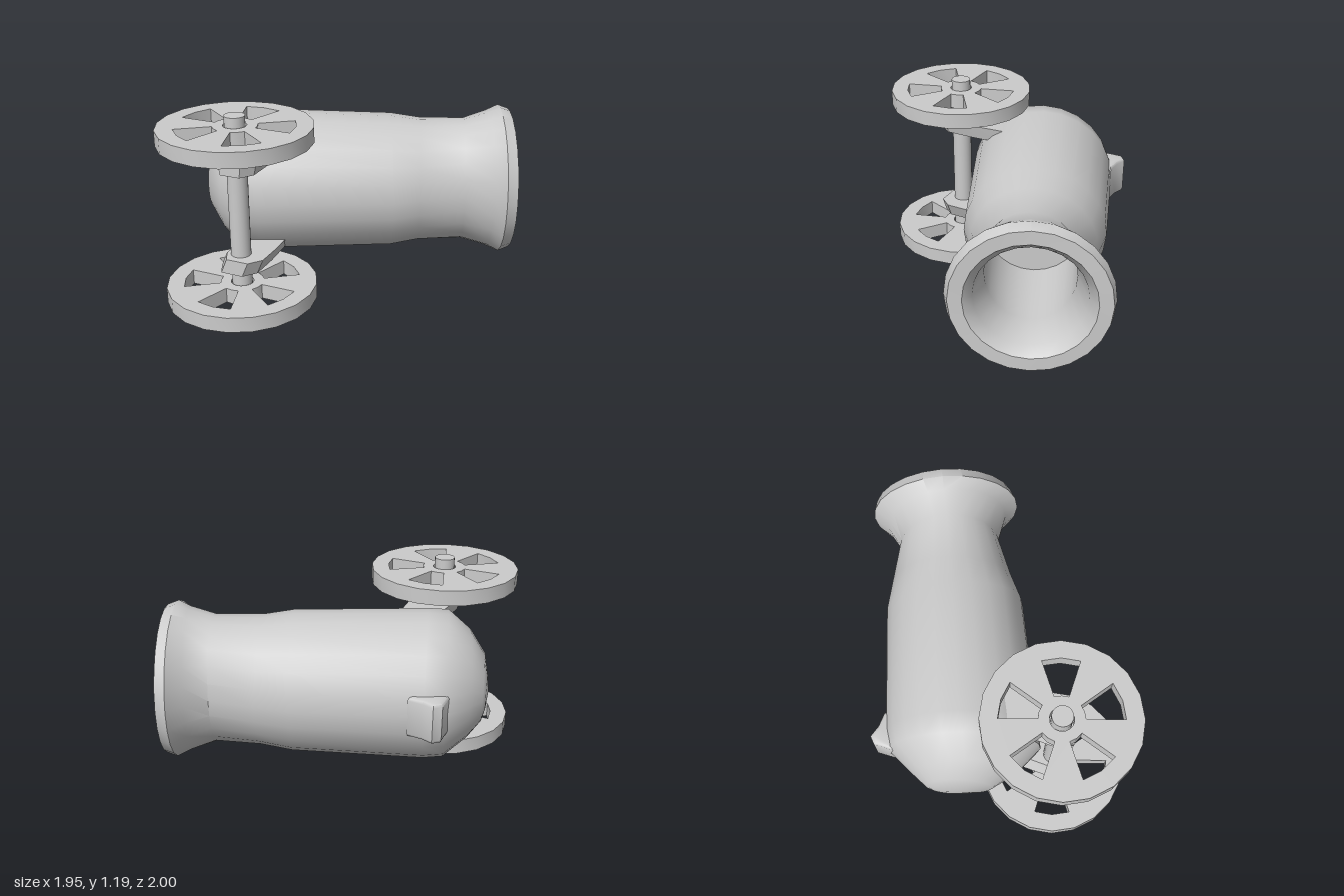
import * as THREE from 'three';
import { toCreasedNormals } from 'three/addons/utils/BufferGeometryUtils.js';

const MID = 0.597; // height of the barrel axis
const AXLE = { x: -0.49, z: 0.55 };

// Lofts elliptical rings; each station is [x1, z1, x2, z2, half height]
function loft(stations, sides) {
  const pos = [], idx = [];
  stations.forEach(([x1, z1, x2, z2, h], i) => {
    for (let j = 0; j < sides; j++) {
      const t = (j / sides) * Math.PI * 2, c = Math.cos(t) / 2;
      pos.push((x1 + x2) / 2 + (x2 - x1) * c, MID + Math.sin(t) * h, (z1 + z2) / 2 + (z2 - z1) * c);
      if (i === stations.length - 1) continue;
      const k = (j + 1) % sides, a = i * sides + j, b = i * sides + k;
      idx.push(a, a + sides, b, b, a + sides, b + sides);
    }
  });
  const g = new THREE.BufferGeometry();
  g.setAttribute('position', new THREE.Float32BufferAttribute(pos, 3));
  g.setIndex(idx);
  return toCreasedNormals(g, 0.75);
}

// Extrudes an outline drawn in x and z upwards from y0 to y1
function slab(shape, y0, y1, bevel = 0) {
  const g = new THREE.ExtrudeGeometry(shape, {
    depth: y1 - y0 - 2 * bevel, bevelEnabled: bevel > 0, bevelSize: bevel,
    bevelThickness: bevel, bevelOffset: -bevel, bevelSegments: 2, curveSegments: 20,
  });
  return g.rotateX(Math.PI / 2).translate(0, y1 - bevel, 0);
}

const outline = (pts) => new THREE.Shape(pts.map(([x, z]) => new THREE.Vector2(x, z)));

function arcPoints(r, from, to, n) {
  return Array.from({ length: n + 1 }, (_, i) => {
    const a = from + ((to - from) * i) / n;
    return new THREE.Vector2(Math.cos(a) * r, Math.sin(a) * r);
  });
}

// Five-spoked wheel, lying flat, with a hub that the axle passes through
function wheelShape() {
  const full = Math.PI * 2, step = full / 5;
  const shape = new THREE.Shape(arcPoints(0.447, 0, full, 20).slice(0, -1));
  for (let i = 0; i < 5; i++) {
    const a = Math.PI / 2 - step / 4 + i * step, b = a + step / 2;
    shape.holes.push(new THREE.Path([...arcPoints(0.345, a, b, 2), ...arcPoints(0.13, b, a, 2)]));
  }
  shape.holes.push(new THREE.Path(arcPoints(0.068, full, 0, 20).slice(0, -1)));
  return shape;
}

export function createModel() {
  const group = new THREE.Group();
  const material = new THREE.MeshStandardMaterial({ color: 0xcccccc });
  const add = (name, geometry) => {
    const mesh = new THREE.Mesh(geometry, material);
    mesh.name = name;
    group.add(mesh);
    return mesh;
  };

  // Barrel: domed breech, body, neck, flared lip, then back down the bore
  add('barrel', loft([
    [-0.965, 0.05, -0.965, 0.05, 0],
    [-0.98, -0.05, -0.93, 0.14, 0.1],
    [-0.975, -0.09, -0.86, 0.28, 0.2],
    [-0.935, -0.18, -0.71, 0.4, 0.32],
    [-0.85, -0.36, -0.55, 0.475, 0.43],
    [-0.75, -0.42, -0.44, 0.43, 0.437],
    [-0.05, -0.68, 0.29, 0.09, 0.415],
    [0.15, -0.715, 0.42, -0.02, 0.388],
    [0.42, -0.76, 0.65, -0.19, 0.39],
    [0.51, -0.88, 0.83, -0.2, 0.435],
    [0.55, -0.99, 0.92, -0.15, 0.463],
    [0.61, -1.0, 0.97, -0.2, 0.44],
    [0.645, -0.93, 0.935, -0.27, 0.36],
    [0.608, -0.858, 0.862, -0.292, 0.31],
    [0.43, -0.71, 0.64, -0.24, 0.3],
    [-0.015, -0.535, 0.215, -0.025, 0.28],
    [0.1, -0.28, 0.1, -0.28, 0],
  ], 24));

  // Fuse lug on the far side of the breech
  const lug = outline([[-0.855, -0.3], [-0.86, -0.44], [-0.82, -0.478], [-0.75, -0.455],
    [-0.66, -0.45], [-0.66, -0.3]]);
  add('fuseLug', toCreasedNormals(slab(lug, MID - 0.12, MID + 0.12, 0.02), 0.8));

  // Axle
  add('axle', new THREE.CylinderGeometry(0.06, 0.06, 1.19, 20).translate(AXLE.x, 0.595, AXLE.z));

  // Brackets joining the axle to the barrel, leaning outwards in x with height
  const bracket = outline([[-0.57, 0.15], [-0.37, 0.15], [-0.35, 0.4], [-0.35, 0.58],
    [-0.41, 0.655], [-0.55, 0.655], [-0.595, 0.57], [-0.59, 0.4]]);
  for (const [name, y0] of [['lowerBracket', 0.24], ['upperBracket', 0.86]]) {
    const g = slab(bracket, y0, y0 + 0.092);
    const p = g.attributes.position;
    for (let i = 0; i < p.count; i++) {
      const up = (p.getY(i) - y0) / 0.092;
      const spread = y0 > 0.5 ? 0.88 + up * 0.2 : 1;
      const lean = y0 > 0.5 ? 0 : (up - 0.5) * 0.04;
      p.setX(i, -0.473 + (p.getX(i) + 0.473) * spread + lean);
    }
    add(name, toCreasedNormals(g, 0.6));
  }

  // Wheels; the lower one is turned half a turn so its spokes face the gaps above
  for (const [name, y0, turn] of [['lowerWheel', 0.06, 0], ['upperWheel', 1.04, Math.PI]]) {
    const wheel = add(name, toCreasedNormals(slab(wheelShape(), y0, y0 + 0.092), 0.4));
    wheel.position.set(AXLE.x, 0, AXLE.z);
    wheel.rotation.y = turn;
  }
  return group;
}
